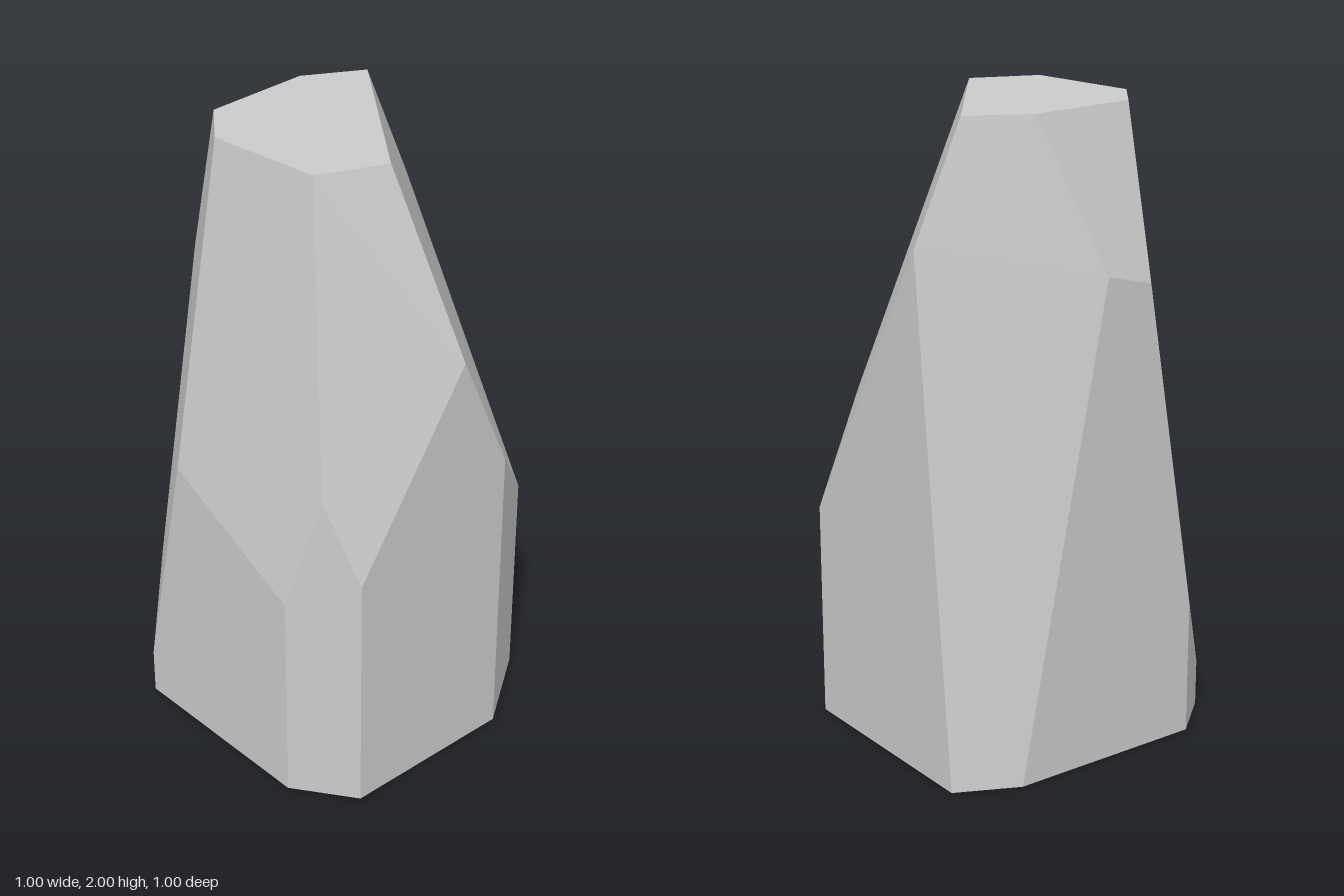
import * as THREE from 'three';
import { ConvexGeometry } from 'three/addons/geometries/ConvexGeometry.js';

export function createModel() {
  const group = new THREE.Group();
  group.name = 'rock';

  // Flat base and flat crown: [x, z] outlines
  const base = [
    [-0.37, 0.5], [0.31, 0.5], [0.5, 0.365], [0.5, -0.225],
    [0.31, -0.5], [-0.405, -0.5], [-0.5, -0.305], [-0.5, 0.345],
  ];
  const crown = [
    [-0.27, -0.355], [0.305, 0.085], [0.225, 0.302],
    [-0.165, 0.332], [-0.33, 0.203], [-0.368, -0.165],
  ];

  // Corners where the sloping cuts meet the upright sides: [x, y, z]
  const shoulders = [
    [-0.37, 0.15, 0.5], [-0.19, 0.95, 0.5], [0.31, 0.7, 0.5], // front
    [0.405, 1.08, 0.434], [0.5, 0.8, 0.365], // front right bevel
    [0.5, 1.4, -0.038], [0.5, 1.0, -0.225], // right
    [0.31, 0.7, -0.5], [-0.24, 1.63, -0.5], // back
    [-0.5, 1.53, 0], [-0.5, 1.49, 0.16], [-0.5, 0.43, 0.345], // left
  ];

  const points = [
    ...base.map(([x, z]) => [x, 0, z]),
    ...shoulders,
    ...crown.map(([x, z]) => [x, 2, z]),
  ].map((p) => new THREE.Vector3(...p));

  // The stone is the convex hull of its corners, with flat facets
  const stone = new THREE.Mesh(
    new ConvexGeometry(points),
    new THREE.MeshStandardMaterial({ color: 0xcccccc, flatShading: true })
  );
  stone.name = 'facetedStone';
  group.add(stone);
  return group;
}
